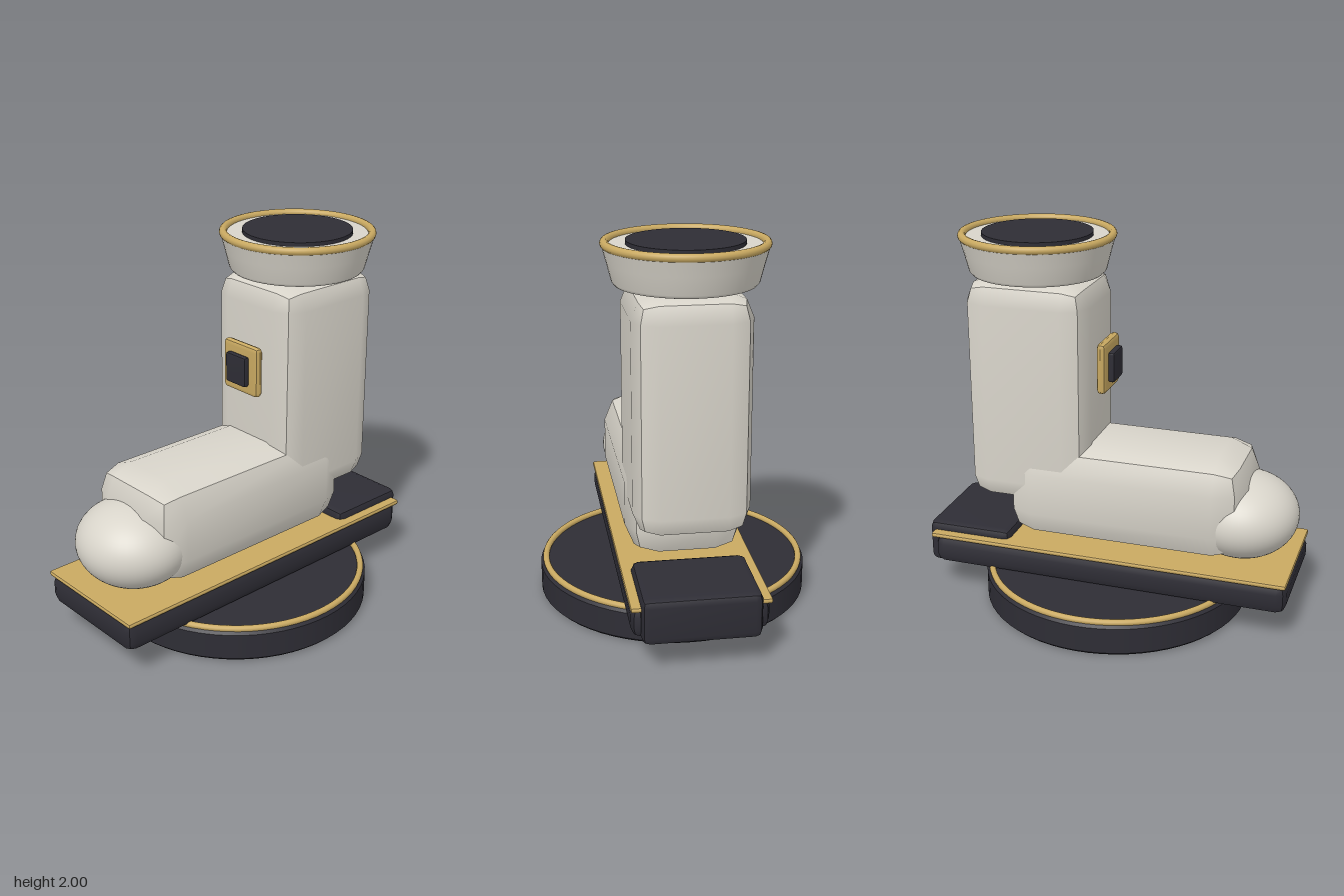
import * as THREE from 'three';

const ivory = new THREE.MeshStandardMaterial({ color: 0xd8d4ca });
ivory.name = 'ivory';
const gold = new THREE.MeshStandardMaterial({ color: 0xc9a961 });
gold.name = 'gold';
const dark = new THREE.MeshStandardMaterial({ color: 0x2e2d35 });
dark.name = 'charcoal';

// Box with single-facet rounded edges: each face bulges gently, with a crease at every edge.
function softBox(min, max, r) {
  const half = [0, 1, 2].map(i => (max[i] - min[i]) / 2);
  const geo = new THREE.BoxGeometry(1, 1, 1, 3, 3, 3);
  const pos = geo.attributes.position;
  const n = new THREE.Vector3();
  for (let i = 0; i < pos.count; i++) {
    const p = [pos.getX(i), pos.getY(i), pos.getZ(i)];
    n.set(...p.map(v => (Math.abs(v) > 0.4 ? Math.sign(v) : 0))).normalize();
    const q = p.map((v, k) => Math.sign(v) * (half[k] - r) + n.getComponent(k) * r + (min[k] + max[k]) / 2);
    pos.setXYZ(i, ...q);
  }
  geo.computeVertexNormals();
  return geo;
}

export function createModel() {
  const model = new THREE.Group();
  model.name = 'bootTrophy';

  const add = (name, geo, mat, x = 0, y = 0, z = 0) => {
    const mesh = new THREE.Mesh(geo, mat);
    mesh.name = name;
    mesh.position.set(x, y, z);
    model.add(mesh);
    return mesh;
  };
  const lathe = pts => new THREE.LatheGeometry(pts.map(p => new THREE.Vector2(...p)), 64);
  const ring = (name, radius, tube, y, z) => {
    const geo = new THREE.TorusGeometry(radius, tube, 12, 72).rotateX(Math.PI / 2);
    add(name, geo, gold, 0, y, z);
  };

  // Round base with gold trim
  add('base', lathe([[0, 0], [0.705, 0], [0.705, 0], [0.72, 0.015], [0.72, 0.015], [0.72, 0.155],
    [0.72, 0.155], [0.705, 0.17], [0.705, 0.17], [0, 0.17]]), dark);
  ring('baseTrim', 0.692, 0.017, 0.178, 0);

  // Sole, welt and heel
  add('sole', softBox([-0.34, 0.17, -0.95], [0.34, 0.335, 1], 0.05), dark);
  add('welt', softBox([-0.345, 0.322, -0.965], [0.345, 0.35, 1], 0.012), gold);
  add('heel', softBox([-0.295, 0.155, -1], [0.295, 0.395, -0.525], 0.04), dark);

  // Foot, toe cap and shaft
  add('foot', softBox([-0.305, 0.37, -0.55], [0.305, 0.922, 0.75], 0.16), ivory);
  const toe = add('toeCap', new THREE.SphereGeometry(1, 48, 32), ivory, 0, 0.565, 0.7);
  toe.scale.set(0.305, 0.225, 0.295);
  add('shaft', softBox([-0.293, 0.57, -0.76], [0.293, 1.78, -0.09], 0.125), ivory);

  // Flared cuff with rim and opening
  const cz = -0.43;
  add('cuff', lathe([[0, 1.78], [0.325, 1.78], [0.345, 1.785], [0.357, 1.8], [0.38, 1.89], [0.402, 1.97],
    [0.402, 1.97], [0.395, 1.975], [0.395, 1.975], [0, 1.975]]), ivory, 0, 0, cz);
  ring('cuffRim', 0.388, 0.021, 1.979, cz);
  add('opening', new THREE.CylinderGeometry(0.288, 0.288, 0.03, 64), dark, 0, 1.98, cz);

  // Buckle on the front of the shaft
  add('buckle', softBox([-0.13, 1.18, -0.077], [0.13, 1.455, -0.025], 0.025), gold);
  add('buckleCentre', softBox([-0.075, 1.235, -0.03], [0.075, 1.4, 0.008], 0.014), dark);

  return model;
}
